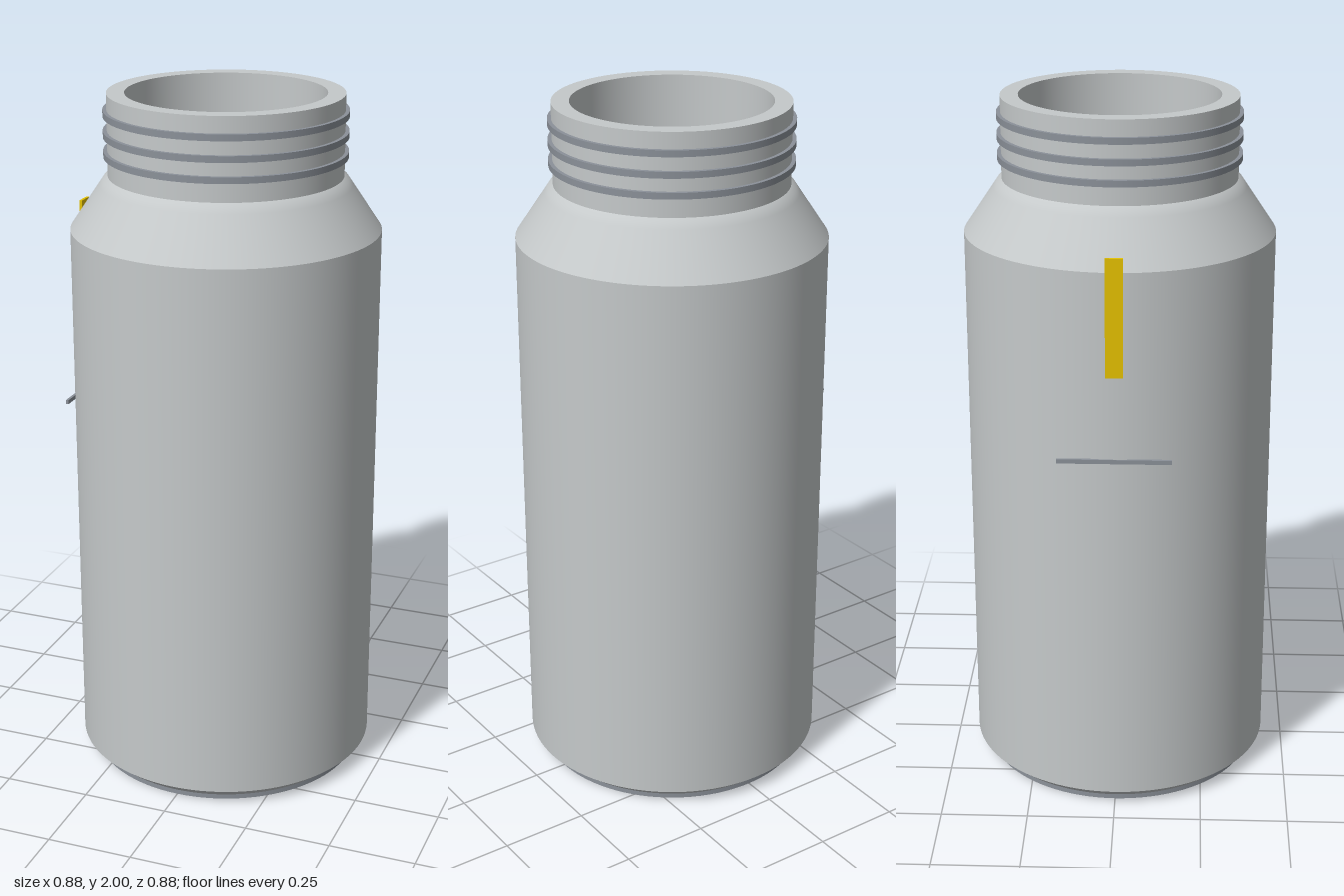
import * as THREE from 'three';

const steel = new THREE.MeshStandardMaterial({ color: 0xc5c9ca });
steel.name = 'brushed steel';
const darkSteel = new THREE.MeshStandardMaterial({ color: 0x8b9199 });
darkSteel.name = 'dark steel';
const gold = new THREE.MeshStandardMaterial({ color: 0xe6c200 });
gold.name = 'gold';

const SEGMENTS = 96;
const AXIS_X = 0.002;

export function createModel() {
  const group = new THREE.Group();
  group.name = 'bottle';

  const add = (name, geometry, material, x, y, z) => {
    const mesh = new THREE.Mesh(geometry, material);
    mesh.name = name;
    mesh.position.set(x, y, z);
    group.add(mesh);
  };

  // One surface of revolution; separate pieces keep the edges between them sharp
  const turned = (name, material, ...profile) => {
    const points = profile.map(([r, y]) => new THREE.Vector2(r, y));
    add(name, new THREE.LatheGeometry(points, SEGMENTS), material, AXIS_X, 0, 0);
  };

  // Base disc and chamfer
  turned('baseUnderside', steel, [0, 0], [0.4, 0]);
  turned('baseRim', darkSteel, [0.4, 0], [0.4, 0.014]);
  turned('baseChamfer', steel, [0.4, 0.014], [0.438, 0.046]);

  // Outer shell
  turned('body', steel, [0.438, 0.046], [0.438, 1.62]);
  turned('shoulder', steel, [0.438, 1.62], [0.354, 1.745], [0.344, 1.76], [0.33, 1.77]);
  turned('neck', steel, [0.33, 1.77], [0.33, 2]);

  // Lip and hollow inside
  turned('lip', steel, [0.33, 2], [0.28, 2]);
  turned('innerWall', steel, [0.28, 2], [0.28, 0.06]);
  turned('innerFloor', steel, [0.28, 0.06], [0, 0.06]);

  // Square-edged screw thread rings
  [1.832, 1.888, 1.945].forEach((y, i) => {
    const name = `threadRing${i + 1}`;
    const [low, high] = [y - 0.009, y + 0.009];
    turned(`${name}Underside`, darkSteel, [0.33, low], [0.341, low]);
    turned(`${name}Edge`, darkSteel, [0.341, low], [0.341, high]);
    turned(`${name}Top`, darkSteel, [0.341, high], [0.33, high]);
  });

  // Thin upright plate and crossbar on the side
  add('sidePlate', new THREE.BoxGeometry(0.008, 0.33, 0.048), gold, -0.436, 1.495, 0);
  add('sideBar', new THREE.BoxGeometry(0.008, 0.012, 0.314), darkSteel, -0.435, 1.088, 0);

  return group;
}
